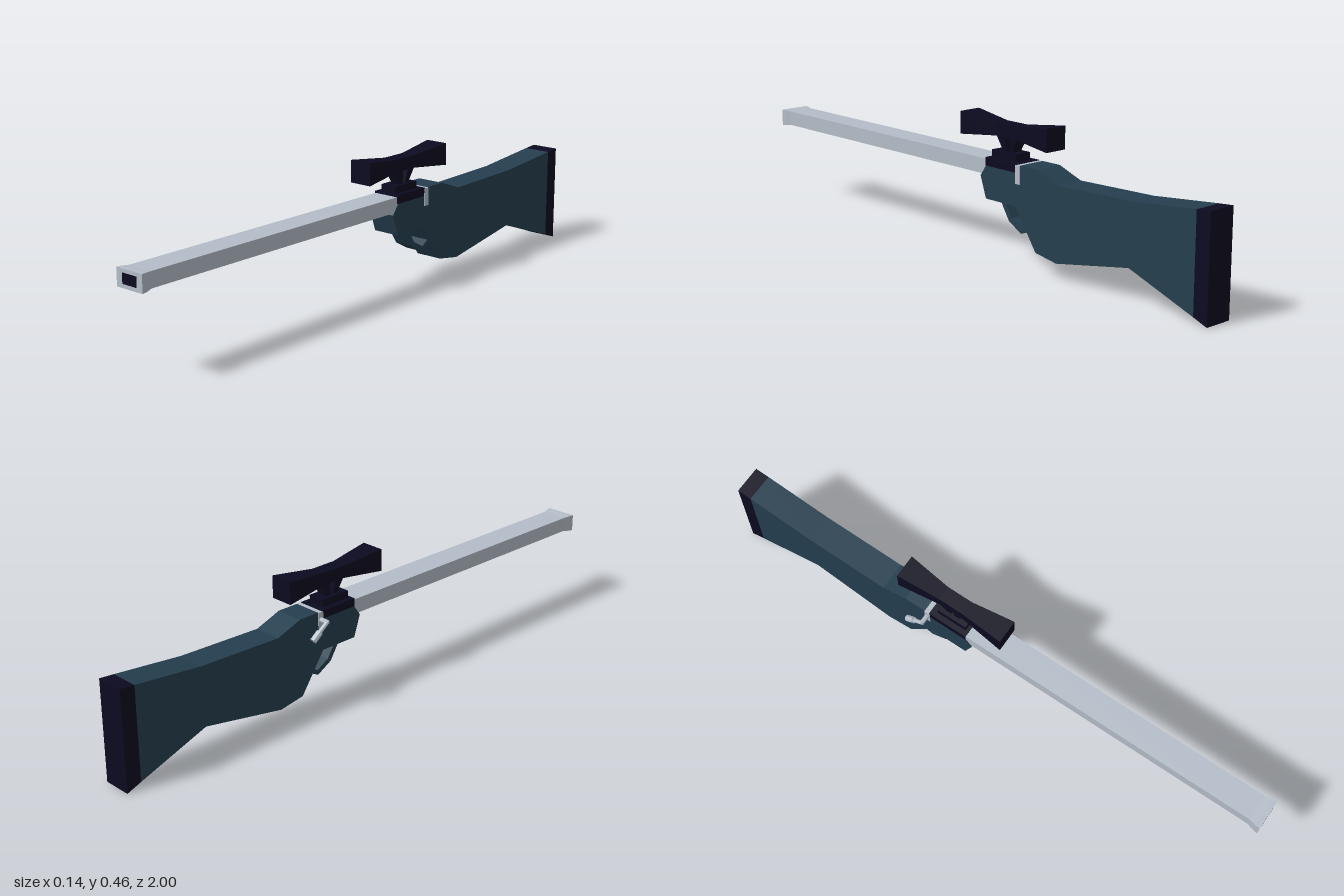
import * as THREE from 'three';

const CX = 0.017; // middle plane of the body, offset by the bolt handle

const makeMaterial = (name, color) => {
  const m = new THREE.MeshStandardMaterial({ color, flatShading: true });
  m.name = name;
  return m;
};

// Side profile of [z, y] points, extruded across x around the middle plane
function profile(points, width) {
  const shape = new THREE.Shape(points.map(([z, y]) => new THREE.Vector2(z, y)));
  const g = new THREE.ExtrudeGeometry(shape, { depth: width, bevelEnabled: false });
  g.rotateY(-Math.PI / 2);
  g.translate(CX + width / 2, 0, 0);
  return g;
}

// Rectangular cross-sections [z, halfWidth, bottom, top], ordered from back to front
function loft(sections) {
  const pos = [], index = [];
  for (const [z, h, y0, y1] of sections) {
    pos.push(CX - h, y0, z, CX + h, y0, z, CX + h, y1, z, CX - h, y1, z);
  }
  for (let s = 0; s < sections.length - 1; s++) {
    for (let k = 0; k < 4; k++) {
      const a = s * 4 + k, b = s * 4 + (k + 1) % 4;
      index.push(a, b, b + 4, a, b + 4, a + 4);
    }
  }
  const e = (sections.length - 1) * 4;
  index.push(0, 2, 1, 0, 3, 2, e, e + 1, e + 2, e, e + 2, e + 3);
  const g = new THREE.BufferGeometry();
  g.setAttribute('position', new THREE.Float32BufferAttribute(pos, 3));
  g.setIndex(index);
  const flat = g.toNonIndexed();
  flat.computeVertexNormals();
  return flat;
}

function box(w, h, d, x, y, z) {
  return new THREE.BoxGeometry(w, h, d).translate(x, y, z);
}

// Round bar between two points
function rod(from, to, r0, r1) {
  const a = new THREE.Vector3(...from), b = new THREE.Vector3(...to);
  const dir = b.clone().sub(a);
  const g = new THREE.CylinderGeometry(r1, r0, dir.length(), 8);
  g.applyQuaternion(new THREE.Quaternion().setFromUnitVectors(new THREE.Vector3(0, 1, 0), dir.normalize()));
  const mid = a.add(b).multiplyScalar(0.5);
  return g.translate(mid.x, mid.y, mid.z);
}

export function createModel() {
  const model = new THREE.Group();
  const teal = makeMaterial('stock teal', 0x243e4e);
  const steel = makeMaterial('light steel', 0xb4bdc8);
  const dark = makeMaterial('dark navy', 0x0b0a20);

  const add = (name, geometry, material, parent = model) => {
    const mesh = new THREE.Mesh(geometry, material);
    mesh.name = name;
    parent.add(mesh);
    return mesh;
  };

  // Stock with grip swell and notch for the receiver
  add('stock', profile([
    [-0.07, 0.272], [-0.095, 0.2], [-0.23, 0.2], [-0.32, 0.07], [-0.41, 0.055],
    [-0.705, 0.107], [-0.95, 0.019], [-0.95, 0.33], [-0.71, 0.307], [-0.415, 0.3],
    [-0.325, 0.333], [-0.25, 0.333], [-0.25, 0.307], [-0.095, 0.307],
  ], 0.097), teal);
  add('buttPad', profile([[-0.95, 0.019], [-1, 0], [-1, 0.334], [-0.95, 0.33]], 0.097), dark);

  // Trigger guard and trigger
  add('triggerGuard', profile([
    [-0.145, 0.205], [-0.185, 0.142], [-0.24, 0.111], [-0.285, 0.135],
    [-0.275, 0.15], [-0.242, 0.128], [-0.197, 0.153], [-0.165, 0.205],
  ], 0.067), teal);
  add('trigger', profile([[-0.2, 0.205], [-0.207, 0.165], [-0.215, 0.165], [-0.218, 0.205]], 0.02), teal);

  // Barrel with flared muzzle
  add('barrel', loft([
    [-0.1, 0.045, 0.278, 0.328], [0.96, 0.045, 0.278, 0.328],
    [0.985, 0.051, 0.274, 0.33], [1, 0.053, 0.273, 0.33],
  ]), steel);
  add('muzzleOpening', box(0.059, 0.033, 0.004, CX, 0.302, 0.9985), dark);

  // Receiver cover and sight rail
  add('receiverCover', box(0.097, 0.028, 0.14, CX, 0.32, -0.163), dark);
  add('sightRail', box(0.06, 0.028, 0.108, CX, 0.344, -0.158), dark);

  // Bolt band and bent handle on the right side
  const bolt = new THREE.Group();
  bolt.name = 'bolt';
  model.add(bolt);
  add('boltBand', box(0.101, 0.06, 0.02, CX, 0.302, -0.24), steel, bolt);
  add('boltArm', rod([-0.03, 0.307, -0.24], [-0.064, 0.307, -0.24], 0.008, 0.008), steel, bolt);
  add('boltLever', rod([-0.062, 0.31, -0.237], [-0.062, 0.28, -0.277], 0.007, 0.007), steel, bolt);
  add('boltKnob', rod([-0.062, 0.284, -0.272], [-0.062, 0.262, -0.3], 0.011, 0.011), steel, bolt);

  // Scope, waisted in the middle
  const scope = new THREE.Group();
  scope.name = 'scope';
  model.add(scope);
  add('scopeBody', loft([
    [-0.355, 0.04, 0.388, 0.462], [-0.205, 0.025, 0.403, 0.445],
    [-0.115, 0.025, 0.403, 0.445], [0.035, 0.04, 0.388, 0.462],
  ]), dark, scope);

  // Two mount legs leaning outwards, wider at the top
  for (const s of [1, -1]) {
    const leg = new THREE.BoxGeometry(1, 1, 1);
    const p = leg.attributes.position;
    for (let i = 0; i < p.count; i++) {
      const top = p.getY(i) > 0, outer = p.getZ(i) * s > 0;
      const dz = top ? (outer ? 0.046 : 0.012) : (outer ? 0.022 : 0.006);
      p.setXYZ(i, CX + Math.sign(p.getX(i)) * (top ? 0.024 : 0.016), top ? 0.408 : 0.355, -0.162 + s * dz);
    }
    leg.computeVertexNormals();
    add(s > 0 ? 'frontMount' : 'rearMount', leg, dark, scope);
  }

  return model;
}
